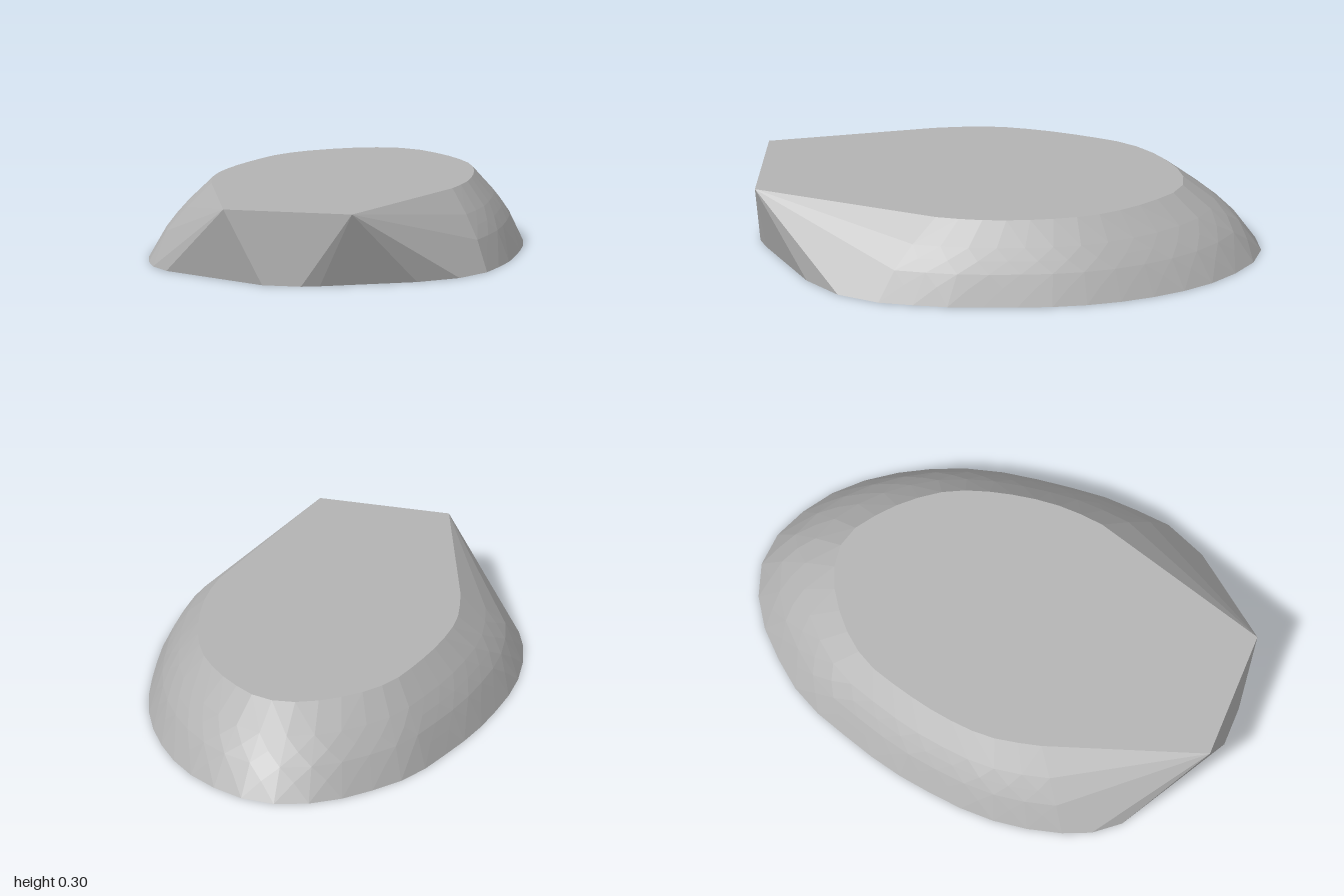
import * as THREE from 'three';
import { ConvexGeometry } from 'three/addons/geometries/ConvexGeometry.js';

// Outlines as [x, z], running from the front left of the plan round the back
const RIM = [[-0.46, 0.36], [-0.49, 0.22], [-0.5, 0.12], [-0.48, -0.07], [-0.43, -0.27], [-0.38, -0.41],
  [-0.31, -0.51], [-0.21, -0.6], [-0.11, -0.66], [0.01, -0.695], [0.12, -0.675], [0.24, -0.59], [0.33, -0.5],
  [0.42, -0.37], [0.48, -0.2], [0.515, 0], [0.518, 0.12], [0.505, 0.25]];
const BASE = [[-0.675, 0.53], [-0.71, 0.38], [-0.725, 0.2], [-0.71, 0.03], [-0.67, -0.2], [-0.6, -0.42],
  [-0.51, -0.64], [-0.38, -0.8], [-0.23, -0.93], [-0.08, -0.99], [0, -1], [0.08, -0.99], [0.2, -0.94],
  [0.3, -0.88], [0.41, -0.78], [0.52, -0.63], [0.61, -0.45], [0.67, -0.25], [0.705, 0], [0.72, 0.2], [0.7, 0.46]];

// Corners of the pointed front
const FRONT_TOP = [[-0.25, 1], [0.28, 1]];
const FRONT_BASE = [[-0.63, 0.64], [-0.55, 0.74], [-0.09, 1], [0.07, 1], [0.14, 0.97], [0.49, 0.77], [0.63, 0.63]];

// Domed flank: [height, share of the way from base to rim]
const FLANK = [[0, 0], [0.07, 0.16], [0.12, 0.28], [0.165, 0.43], [0.21, 0.6], [0.3, 1]];

const HEIGHT = 0.3;
const STEPS = 26;

const lift = (outline, y) => outline.map(([x, z]) => new THREE.Vector3(x, y, z));

export function createModel() {
  const group = new THREE.Group();
  group.name = 'flatToppedStone';
  const grey = new THREE.MeshStandardMaterial({ color: 0xb3b3b3, flatShading: true });
  grey.name = 'stone grey';

  const points = [...lift(FRONT_TOP, HEIGHT), ...lift(FRONT_BASE, 0)];
  const rim = new THREE.CatmullRomCurve3(lift(RIM, 0));
  const base = new THREE.CatmullRomCurve3(lift(BASE, 0));

  // Rings of the curved flank, shrinking from base to rim
  FLANK.forEach(([y, share], ring) => {
    const shift = ring % 2 && ring < FLANK.length - 1 ? 0.5 : 0;
    for (let i = 0; i + shift <= STEPS; i++) {
      const t = (i + shift) / STEPS;
      const p = base.getPointAt(t).lerp(rim.getPointAt(t), share);
      p.y = y;
      points.push(p);
    }
  });

  const body = new THREE.Mesh(new ConvexGeometry(points), grey);
  body.name = 'body';
  group.add(body);
  return group;
}
